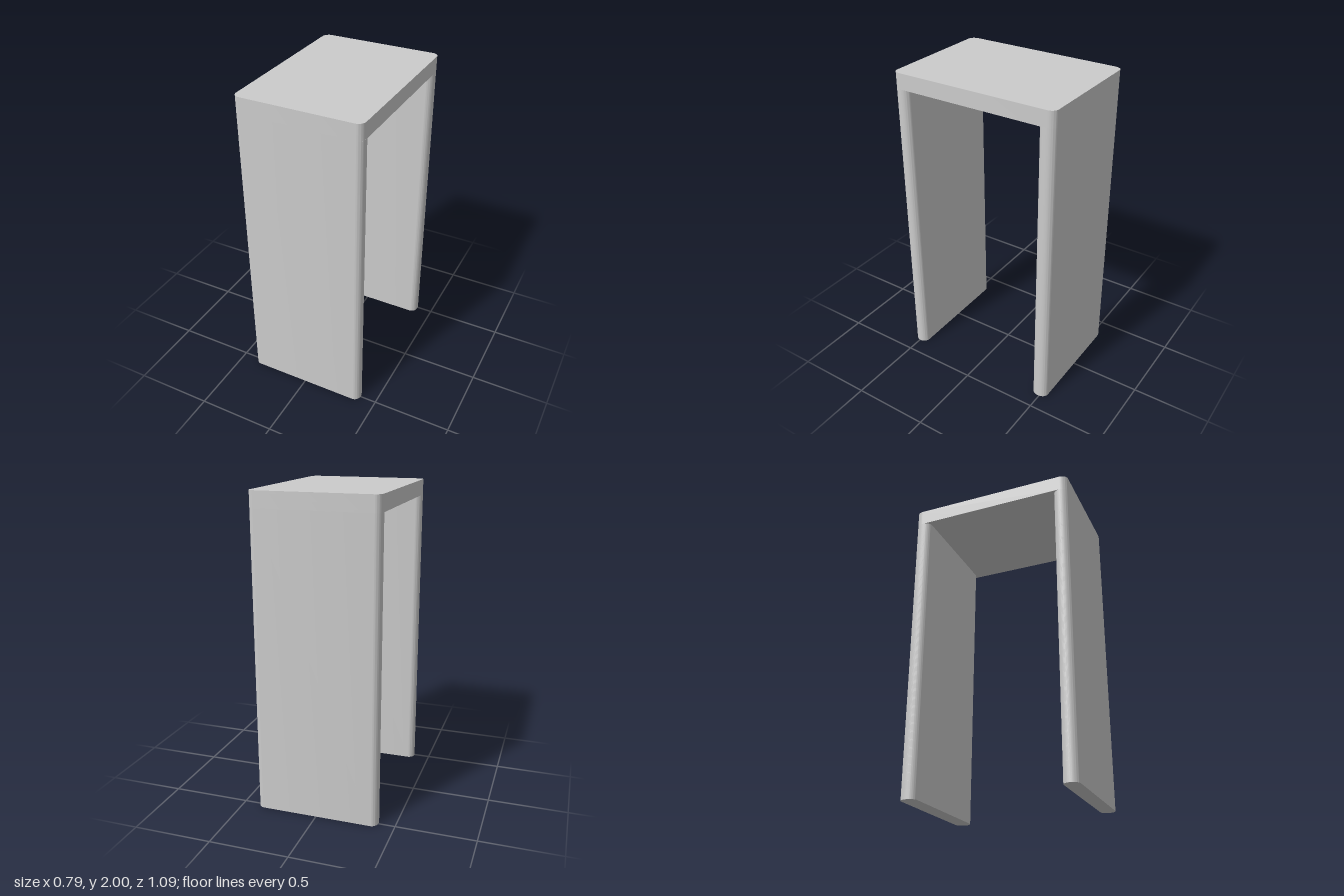
import * as THREE from 'three';
import { toCreasedNormals } from 'three/addons/utils/BufferGeometryUtils.js';

const HALF_WIDTH = 0.394;
const HALF_DEPTH = 0.543;
const HEIGHT = 2;
const TOP_UNDERSIDE = 1.9;
const CORNER_X = 0.042;

// Upright prism whose plan is a rectangle with elliptical corners
function roundedPrism(zBack, zFront, yBottom, yTop, cornerZ) {
  const x = HALF_WIDTH - CORNER_X;
  const low = -zFront + cornerZ;
  const high = -zBack - cornerZ;
  const q = Math.PI / 2;
  const plan = new THREE.Shape();
  [[x, low, 3 * q], [x, high, 0], [-x, high, q], [-x, low, 2 * q]].forEach(([cx, cy, a]) => {
    plan.absellipse(cx, cy, CORNER_X, cornerZ, a, a + q, false, 0);
  });
  const geometry = new THREE.ExtrudeGeometry(plan, {
    depth: yTop - yBottom,
    bevelEnabled: false,
    curveSegments: 12,
  });
  geometry.rotateX(-Math.PI / 2);
  geometry.translate(0, yBottom, 0);
  return toCreasedNormals(geometry, Math.PI / 6);
}

export function createModel() {
  const model = new THREE.Group();
  model.name = 'panelLegTable';
  const material = new THREE.MeshStandardMaterial({ color: 0xcccccc });

  const add = (name, geometry) => {
    const mesh = new THREE.Mesh(geometry, material);
    mesh.name = name;
    model.add(mesh);
  };

  // Top slab
  add('top', roundedPrism(-HALF_DEPTH, HALF_DEPTH, TOP_UNDERSIDE, HEIGHT, 0.048));

  // Full-width panel legs, the back one slightly thicker
  add('frontLeg', roundedPrism(0.448, HALF_DEPTH, 0, TOP_UNDERSIDE, 0.047));
  add('backLeg', roundedPrism(-HALF_DEPTH, -0.439, 0, TOP_UNDERSIDE, 0.048));

  return model;
}
